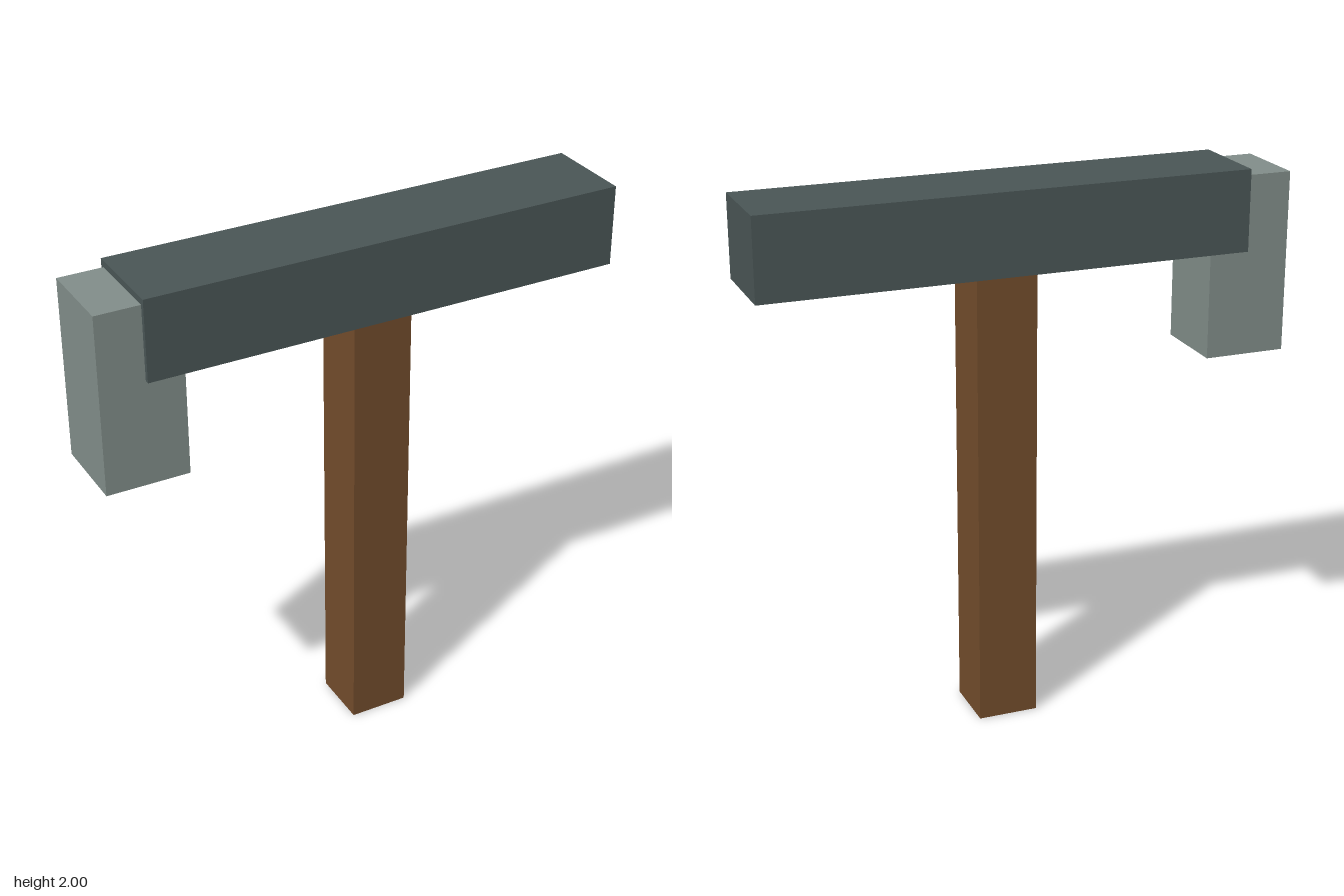
import * as THREE from 'three';

const material = (name, color) => {
  const m = new THREE.MeshStandardMaterial({ color });
  m.name = name;
  return m;
};

// Box given by its extents in x and y, and its depth centred on z = 0
function block(name, mat, [x0, x1], [y0, y1], depth) {
  const mesh = new THREE.Mesh(new THREE.BoxGeometry(x1 - x0, y1 - y0, depth), mat);
  mesh.position.set((x0 + x1) / 2, (y0 + y1) / 2, 0);
  mesh.name = name;
  return mesh;
}

export function createModel() {
  const wood = material('brown wood', 0x734d2c);
  const darkMetal = material('dark grey metal', 0x4a5656);
  const lightMetal = material('light grey metal', 0x828e8a);

  const model = new THREE.Group();
  model.name = 'hammer';
  model.add(
    // Upright shaft
    block('handle', wood, [-0.032, 0.19], [0, 1.71], 0.226),
    // Long horizontal bar across the top
    block('head', darkMetal, [-0.815, 0.975], [1.702, 2], 0.336),
    // Pale block hanging from the end of the bar
    block('strikingBlock', lightMetal, [-0.978, -0.676], [1.315, 1.975], 0.302),
  );
  return model;
}
